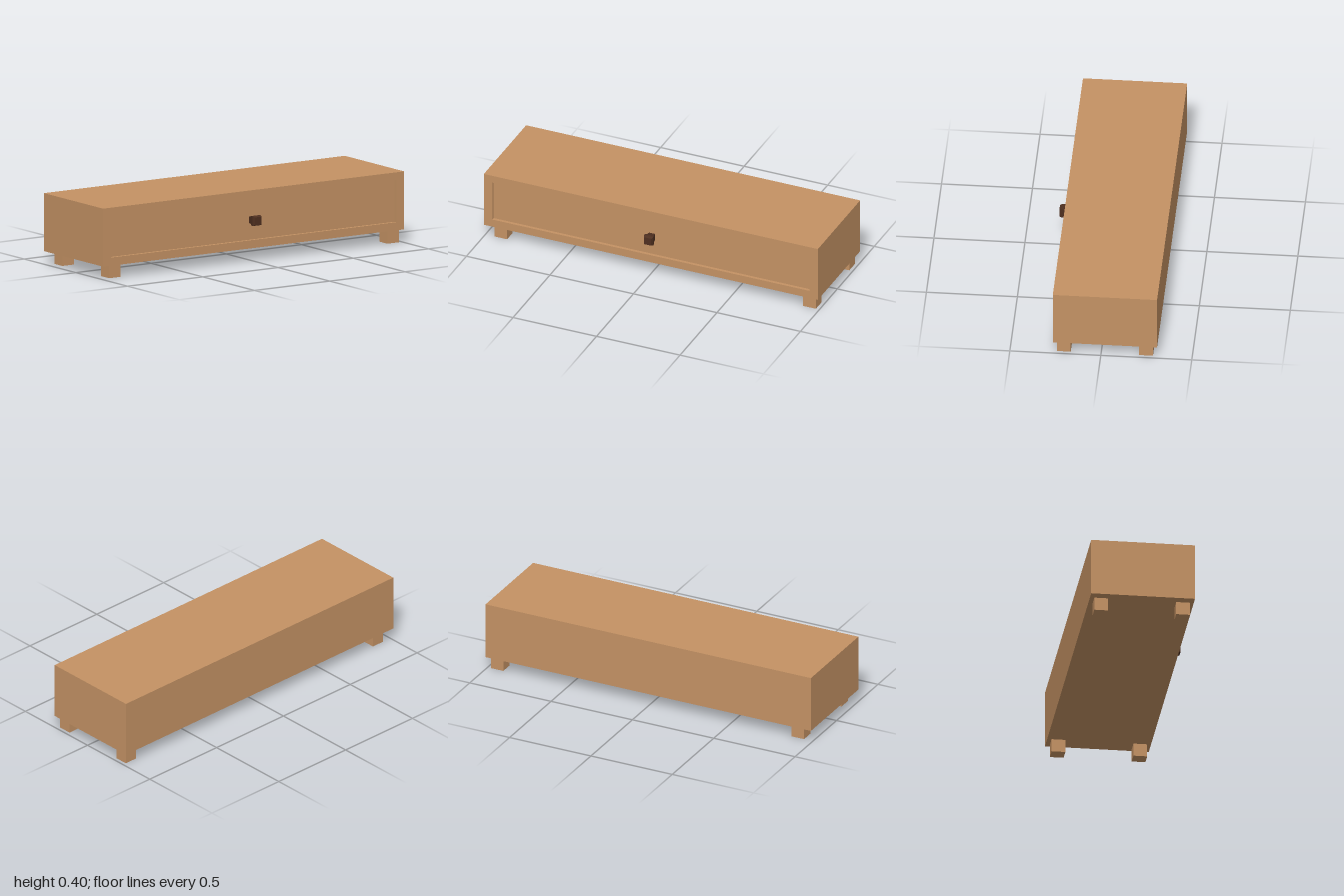
import * as THREE from 'three';

const wood = new THREE.MeshStandardMaterial({ color: 0xc49264 });
wood.name = 'light wood';
const darkWood = new THREE.MeshStandardMaterial({ color: 0x4e2f20, flatShading: true });
darkWood.name = 'dark wood';

// Box given by its low and high corners
function box(name, lo, hi) {
  const size = hi.map((v, i) => v - lo[i]);
  const mesh = new THREE.Mesh(new THREE.BoxGeometry(...size), wood);
  mesh.position.set(...hi.map((v, i) => (v + lo[i]) / 2));
  mesh.name = name;
  return mesh;
}

// Rectangle outline for the front frame
function rectangle(Type, x0, y0, x1, y1) {
  return new Type([[x0, y0], [x1, y0], [x1, y1], [x0, y1]].map(p => new THREE.Vector2(...p)));
}

export function createModel() {
  const model = new THREE.Group();
  model.name = 'lowCabinet';
  const bottom = 0.073, top = 0.396, back = -0.309, front = 0.264, recess = 0.246;

  // Cabinet shell: an open-fronted sleeve around the drawer opening
  const outline = rectangle(THREE.Shape, -1, bottom, 1, top);
  outline.holes.push(rectangle(THREE.Path, -0.949, 0.118, 0.949, 0.353));
  const shell = new THREE.Mesh(
    new THREE.ExtrudeGeometry(outline, { depth: front - back, bevelEnabled: false }), wood);
  shell.position.z = back;
  shell.name = 'cabinetShell';
  model.add(shell);

  // Drawer fills the opening, its face set slightly back
  model.add(box('drawer', [-0.949, 0.118, back], [0.949, 0.353, recess]));

  // Four short square legs
  for (const [side, x] of [['right', -0.946], ['left', 0.903]]) {
    for (const [end, z] of [['Front', 0.167], ['Back', -0.285]]) {
      model.add(box(side + end + 'Leg', [x, 0, z], [x + 0.076, bottom, z + 0.076]));
    }
  }

  // Four-sided knob: half-width and distance from the drawer face
  const profile = [[0, 0], [0.018, 0], [0.02, 0.018], [0.027, 0.037],
    [0.027, 0.051], [0.022, 0.063], [0, 0.063]]
    .map(([w, d]) => new THREE.Vector2(w * Math.SQRT2, d));
  const knob = new THREE.Mesh(new THREE.LatheGeometry(profile, 4, Math.PI / 4), darkWood);
  knob.rotation.x = Math.PI / 2;
  knob.position.set(0, 0.23, recess);
  knob.name = 'knob';
  model.add(knob);

  return model;
}
